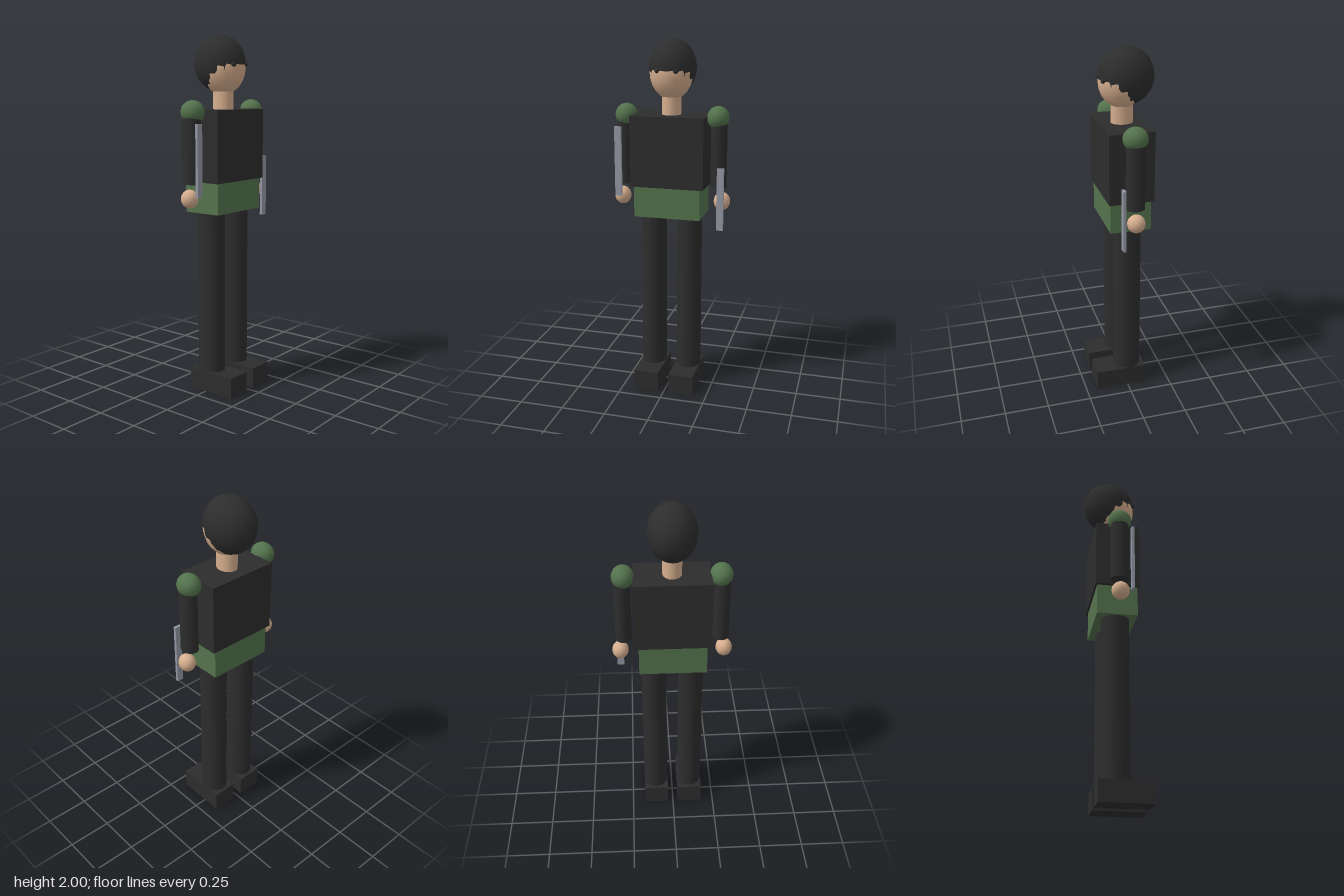
import * as THREE from 'three';

const paint = (name, color) => {
  const m = new THREE.MeshStandardMaterial({ color });
  m.name = name;
  return m;
};

export function createModel() {
  const dark = paint('charcoal', 0x2d2d2d);
  const green = paint('moss green', 0x54734d);
  const skin = paint('skin', 0xd6ae8e);
  const steel = paint('steel', 0x9498a4);

  const body = new THREE.Group();
  body.name = 'figure';
  const CZ = -0.01; // depth of the body's middle plane

  const add = (name, geometry, material, x, y, z) => {
    const mesh = new THREE.Mesh(geometry, material);
    mesh.name = name;
    mesh.position.set(x, y, z);
    body.add(mesh);
    return mesh;
  };
  const box = (name, material, w, h, d, x, y, z) =>
    add(name, new THREE.BoxGeometry(w, h, d), material, x, y, z);
  const ball = (name, material, rx, ry, rz, x, y, z) =>
    add(name, new THREE.SphereGeometry(1, 16, 12).scale(rx, ry, rz), material, x, y, z);
  // Upright oval column between two heights
  const column = (name, material, rx, rz, y0, y1, x) =>
    add(name, new THREE.CylinderGeometry(1, 1, y1 - y0, 16).scale(rx, 1, rz), material, x, (y0 + y1) / 2, CZ);

  // Head: the hair is a slightly larger ball set up and back from the face
  ball('face', skin, 0.12, 0.15, 0.13, 0, 1.825, CZ);
  ball('hair', dark, 0.13, 0.155, 0.153, 0, 1.845, -0.033);
  column('neck', skin, 0.052, 0.061, 1.58, 1.73, 0);

  // Trunk
  box('torso', dark, 0.412, 0.392, 0.25, 0, 1.399, CZ);
  box('hips', green, 0.374, 0.173, 0.228, 0, 1.1165, CZ);

  for (const [label, s] of [['left', 1], ['right', -1]]) {
    ball(label + 'Eye', dark, 0.015, 0.015, 0.015, s * 0.05, 1.838, 0.102);
    ball(label + 'Shoulder', green, 0.061, 0.063, 0.068, s * 0.26, 1.585, CZ);
    column(label + 'Arm', dark, 0.045, 0.052, 1.2, 1.58, s * 0.267);
    ball(label + 'Hand', skin, 0.046, 0.051, 0.05, s * 0.288, 1.122, CZ);
    column(label + 'Leg', dark, 0.071, 0.08, 0.1, 1.04, s * 0.104);
    box(label + 'Foot', dark, 0.144, 0.118, 0.293, s * 0.103, 0.059, 0.0385);
  }

  // Flat bars worn in front of the forearms, one raised and one lowered
  box('leftBar', steel, 0.038, 0.348, 0.016, 0.291, 1.146, 0.058);
  box('rightBar', steel, 0.038, 0.392, 0.016, -0.291, 1.329, 0.058);

  return body;
}
